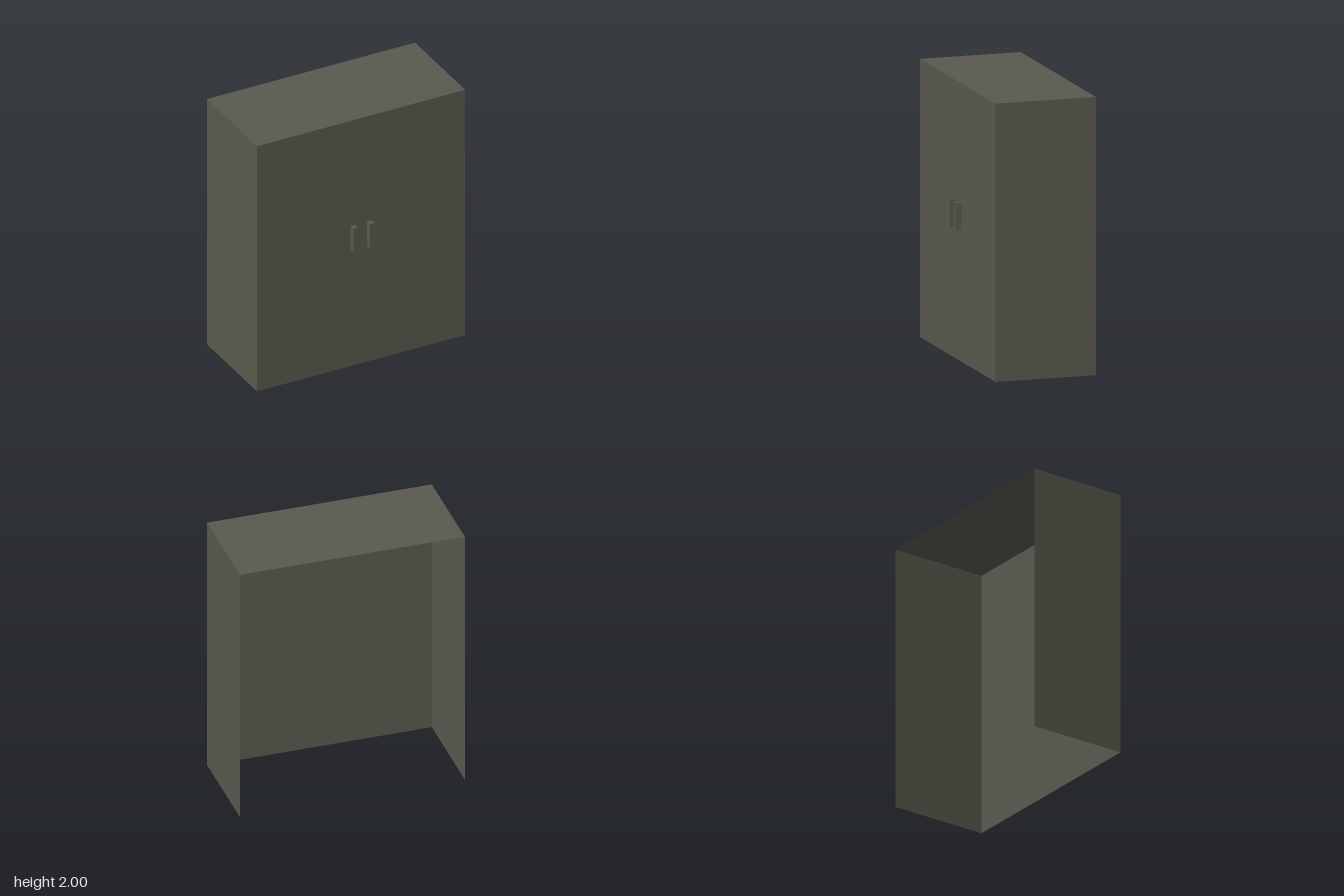
import * as THREE from 'three';

const W = 1.664, H = 2, FRONT = 0.352, BACK = -0.394;
const DEPTH = FRONT - BACK, MID = (FRONT + BACK) / 2;

export function createModel() {
  const model = new THREE.Group();
  model.name = 'cabinet';

  const paint = new THREE.MeshStandardMaterial({ color: 0x5a594f, side: THREE.DoubleSide });
  paint.name = 'dark olive grey';

  const add = (name, geometry, x, y, z) => {
    const mesh = new THREE.Mesh(geometry, paint);
    mesh.name = name;
    mesh.position.set(x, y, z);
    model.add(mesh);
    return mesh;
  };

  // Thin shell, open at the back and underneath
  add('doorFront', new THREE.PlaneGeometry(W, H), 0, H / 2, FRONT);
  add('topPanel', new THREE.PlaneGeometry(W, DEPTH).rotateX(-Math.PI / 2), 0, H, MID);

  // Side panels and door handles, mirrored about the middle
  for (const [side, s] of [['left', 1], ['right', -1]]) {
    add(side + 'Panel', new THREE.PlaneGeometry(DEPTH, H).rotateY(s * Math.PI / 2), s * W / 2, H / 2, MID);
    add(side + 'Handle', new THREE.BoxGeometry(0.033, 0.2, 0.042), s * 0.066, 1.043, FRONT + 0.021);
  }

  return model;
}
